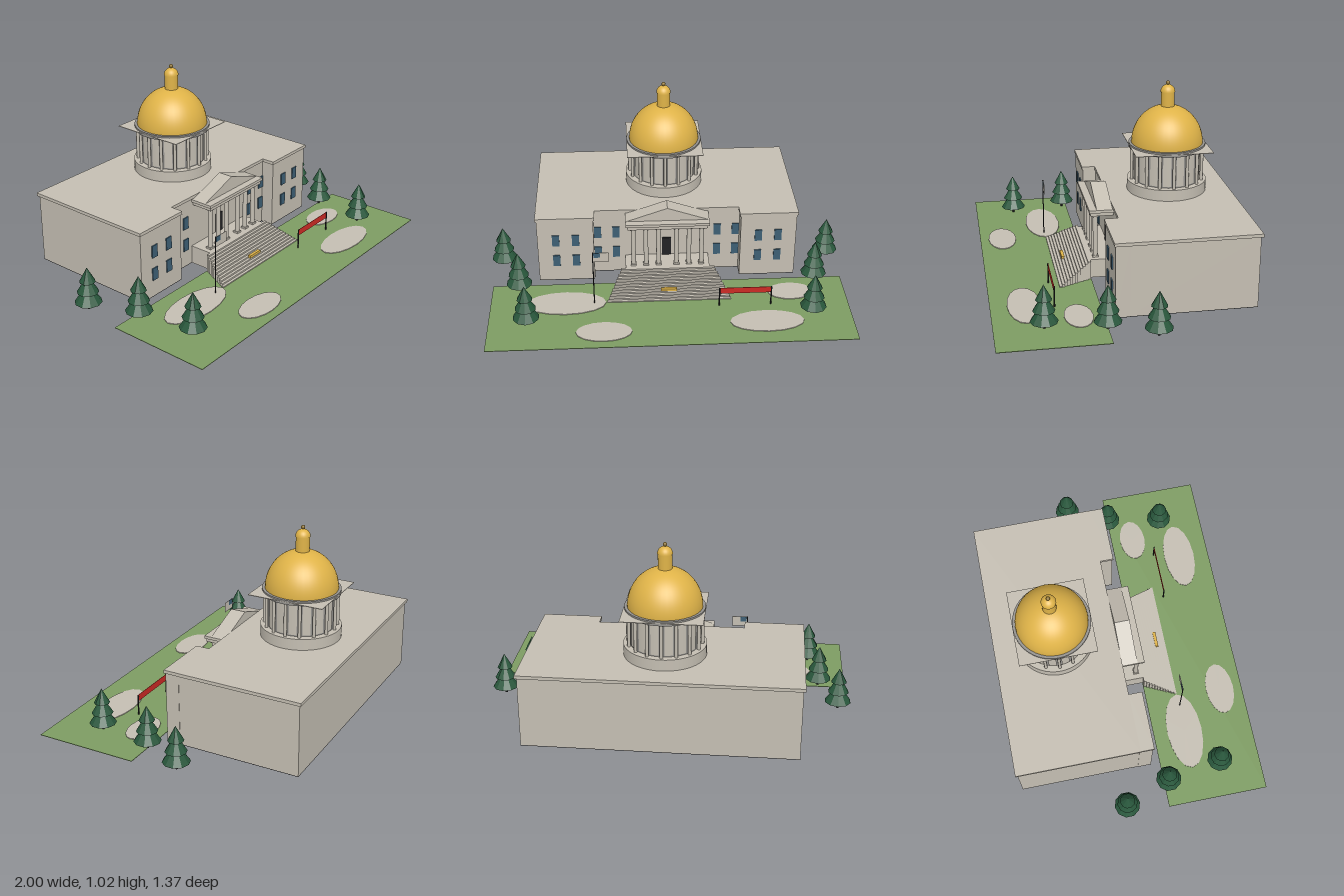
import * as THREE from 'three';

const mat = (name, color, extra = {}) => Object.assign(new THREE.MeshStandardMaterial({ color, ...extra }), { name });

export function createModel() {
  const root = new THREE.Group();
  root.name = 'domedCivicBuilding';

  const stone = mat('stone', 0xc4beb2);
  const grey = mat('shadedStone', 0x94928e);
  const gold = mat('gold', 0xdfb348);
  const bronze = mat('bronze', 0x8f7434);
  const glass = mat('windowBlue', 0x3d5f74);
  const grass = mat('grass', 0x7d9c62);
  const pine = mat('pine', 0x29573c, { flatShading: true });
  const black = mat('black', 0x222224);
  const red = mat('red', 0xcc2a24);

  const add = (name, geo, material, x = 0, y = 0, z = 0, parent = root) => {
    const m = new THREE.Mesh(geo, material);
    m.name = name;
    m.position.set(x, y, z);
    parent.add(m);
    return m;
  };
  // Box given by its limits on each axis
  const block = (name, material, x0, x1, y0, y1, z0, z1, parent = root) =>
    add(name, new THREE.BoxGeometry(x1 - x0, y1 - y0, z1 - z0), material,
      (x0 + x1) / 2, (y0 + y1) / 2, (z0 + z1) / 2, parent);
  // Upright cylinder standing on y0
  const post = (name, material, r, y0, y1, x, z, sides = 12, parent = root) =>
    add(name, new THREE.CylinderGeometry(r, r, y1 - y0, sides), material, x, (y0 + y1) / 2, z, parent);

  // Main hall and front wings on a dark foundation
  block('foundation', black, -0.72, 0.72, 0, 0.003, -0.678, -0.01);
  block('mainHall', stone, -0.72, 0.72, 0.003, 0.392, -0.678, -0.01);
  block('roofCornice', stone, -0.73, 0.73, 0.392, 0.41, -0.688, -0.004);
  for (const s of [-1, 1]) {
    const x = s * 0.566;
    block('wingFoundation', black, x - 0.156, x + 0.156, 0, 0.003, -0.01, 0.065);
    block('wing', stone, x - 0.156, x + 0.156, 0.003, 0.392, -0.01, 0.065);
    block('wingCornice', stone, x - 0.163, x + 0.163, 0.392, 0.41, -0.004, 0.071);
  }

  // Windows, two rows across the front
  for (const s of [-1, 1]) {
    for (const [x, z] of [[0.285, -0.008], [0.388, -0.008], [0.51, 0.067], [0.62, 0.067]]) {
      for (const y of [0.133, 0.265]) {
        add('window', new THREE.BoxGeometry(0.04, 0.07, 0.008), glass, s * x, y, z);
      }
    }
  }

  // Portico
  const portico = new THREE.Group();
  portico.name = 'portico';
  root.add(portico);
  block('podium', stone, -0.235, 0.235, 0, 0.105, -0.01, 0.122, portico);
  block('door', black, -0.026, 0.026, 0.105, 0.218, -0.01, -0.003, portico);
  block('entablature', stone, -0.222, 0.222, 0.352, 0.375, -0.01, 0.115, portico);
  block('porticoCornice', stone, -0.232, 0.232, 0.372, 0.388, -0.01, 0.122, portico);
  for (const x of [0.05, 0.12, 0.19]) {
    for (const s of [-1, 1]) {
      post('porticoColumn', stone, 0.013, 0.105, 0.352, s * x, 0.085, 14, portico);
      add('columnBase', new THREE.BoxGeometry(0.032, 0.01, 0.032), stone, s * x, 0.11, 0.085, portico);
      add('columnCapital', new THREE.BoxGeometry(0.032, 0.012, 0.032), stone, s * x, 0.346, 0.085, portico);
    }
  }
  const gable = new THREE.Shape([
    new THREE.Vector2(-0.228, 0), new THREE.Vector2(0.228, 0), new THREE.Vector2(0, 0.079)]);
  add('pediment', new THREE.ExtrudeGeometry(gable, { depth: 0.086, bevelEnabled: false }),
    stone, 0, 0.388, -0.004, portico);

  // Front steps, widening towards the ground
  const STEPS = 12;
  for (let i = 0; i < STEPS; i++) {
    const w = 0.255 + 0.085 * (i + 1) / STEPS;
    const z = 0.12 + 0.18 * i / STEPS;
    block('step', stone, -w, w, 0, 0.105 * (1 - i / STEPS), z, z + 0.18 / STEPS);
  }
  block('stepPlaque', gold, -0.045, 0.045, 0.035, 0.049, 0.236, 0.253);

  // Domed tower
  const tower = new THREE.Group();
  tower.name = 'domeTower';
  tower.position.z = -0.345;
  root.add(tower);
  post('drumBase', stone, 0.219, 0.405, 0.472, 0, 0, 48, tower);
  post('drumWall', grey, 0.183, 0.472, 0.658, 0, 0, 48, tower);
  const BAYS = 16;
  for (let i = 0; i < BAYS; i++) {
    const a = (i / BAYS) * Math.PI * 2;
    post('drumColumn', stone, 0.009, 0.472, 0.658, Math.sin(a) * 0.196, Math.cos(a) * 0.196, 8, tower);
    add('drumPanel', new THREE.CylinderGeometry(0.186, 0.186, 0.166, 4, 1, true, a + 0.08, Math.PI * 2 / BAYS - 0.16),
      stone, 0, 0.563, 0, tower);
  }
  block('squareSlab', stone, -0.212, 0.212, 0.668, 0.671, -0.212, 0.212, tower);
  post('domeRing', grey, 0.211, 0.656, 0.68, 0, 0, 48, tower);
  const dome = add('dome', new THREE.SphereGeometry(0.196, 40, 20, 0, Math.PI * 2, 0, Math.PI / 2),
    gold, 0, 0.68, 0, tower);
  dome.scale.y = 1.06;
  post('lantern', gold, 0.037, 0.87, 0.965, 0, 0, 24, tower);
  add('lanternCap', new THREE.SphereGeometry(0.04, 24, 10, 0, Math.PI * 2, 0, Math.PI / 2),
    gold, 0, 0.963, 0, tower);
  add('finial', new THREE.SphereGeometry(0.011, 12, 8), bronze, 0, 1.013, 0, tower);

  // Lawn and pale paved patches
  block('lawn', grass, -0.98, 0.98, 0, 0.003, 0.117, 0.683);
  for (const [x, z, rx, rz] of [[-0.567, 0.297, 0.22, 0.1], [-0.36, 0.555, 0.15, 0.08],
    [0.515, 0.505, 0.2, 0.09], [0.675, 0.245, 0.125, 0.075]]) {
    add('pavedPatch', new THREE.CylinderGeometry(1, 1, 0.005, 16), stone, x, 0.0045, z).scale.set(rx, 1, rz);
  }

  // Pines: three stacked cones on a trunk
  for (const [x, z] of [[-0.93, -0.115], [-0.83, 0.145], [-0.775, 0.455],
    [0.93, -0.115], [0.825, 0.12], [0.773, 0.43]]) {
    const tree = new THREE.Group();
    tree.name = 'pineTree';
    tree.position.set(x, 0, z);
    root.add(tree);
    post('trunk', black, 0.007, 0, 0.05, 0, 0, 6, tree);
    for (const [r, y, h] of [[0.072, 0.042, 0.105], [0.057, 0.1, 0.095], [0.042, 0.16, 0.08]]) {
      add('foliage', new THREE.ConeGeometry(r, h, 10), pine, 0, y + h / 2, 0, tree);
    }
  }

  // Flag on its pole
  post('flagPole', black, 0.003, 0, 0.34, -0.412, 0.303, 8);
  block('flag', stone, -0.41, -0.325, 0.28, 0.338, 0.302, 0.304);
  block('flagCanton', glass, -0.408, -0.373, 0.308, 0.337, 0.301, 0.305);

  // Red banner on two posts
  for (const x of [0.27, 0.553]) post('bannerPost', black, 0.004, 0, 0.118, x, 0.353, 8);
  block('banner', red, 0.271, 0.552, 0.081, 0.118, 0.352, 0.354);

  return root;
}
